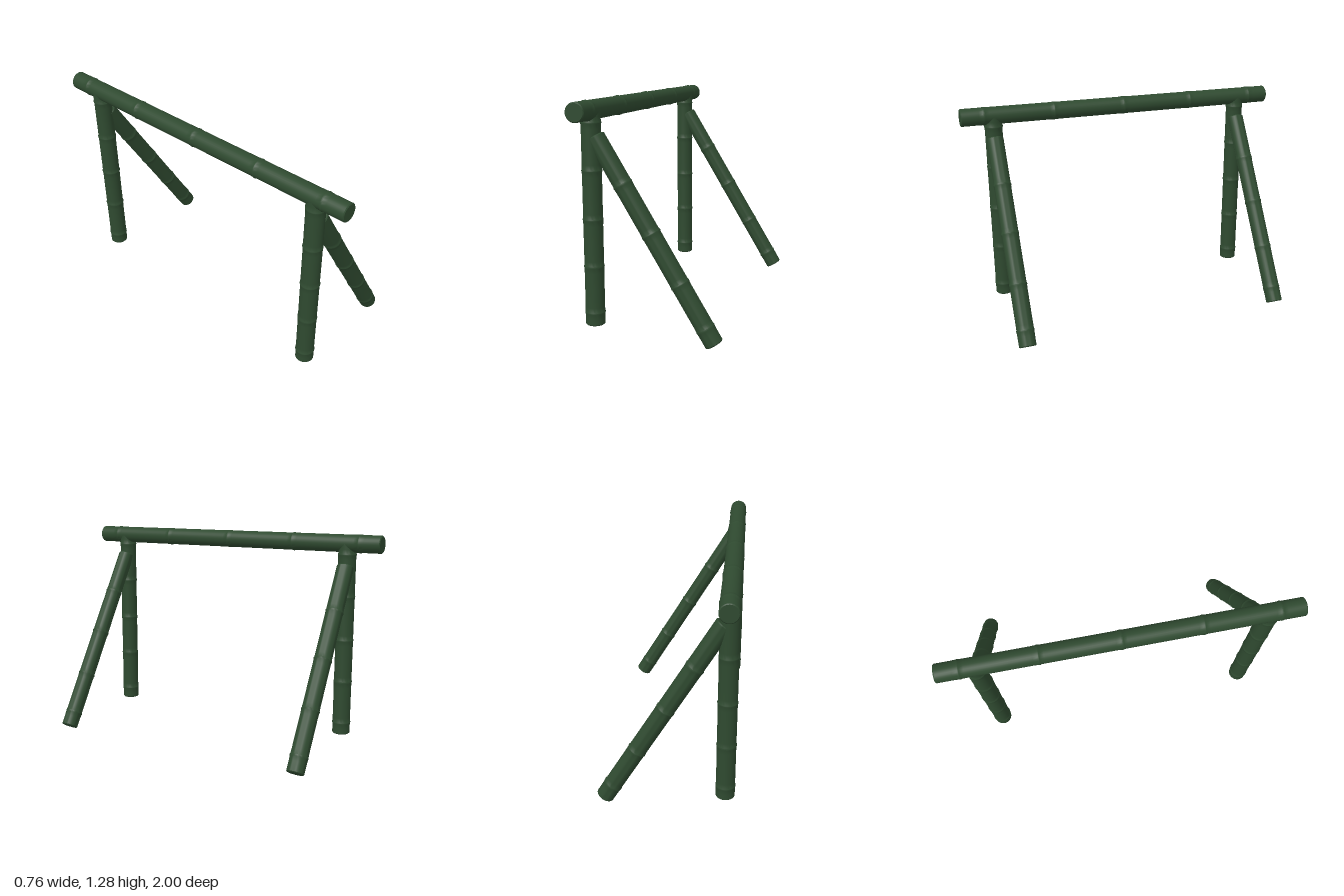
import * as THREE from 'three';
import { toCreasedNormals } from 'three/addons/utils/BufferGeometryUtils.js';

const green = new THREE.MeshStandardMaterial({ color: 0x2f4a30 });

// Jointed cane from a to b; nodes are distances along it from a
function makeCane(name, a, b, radius, nodes) {
  const start = new THREE.Vector3(...a);
  const axis = new THREE.Vector3(...b).sub(start);
  const length = axis.length();
  const bevel = 0.005;
  const profile = [[0, 0], [radius - bevel, 0], [radius, bevel]];
  for (const n of nodes) {
    // Slight swelling, a proud ridge and a small groove above it
    profile.push(
      [radius, n - 0.035], [radius + 0.001, n - 0.010], [radius + 0.003, n - 0.003],
      [radius + 0.003, n + 0.002], [radius + 0.0005, n + 0.006], [radius, n + 0.03]
    );
  }
  profile.push([radius, length - bevel], [radius - bevel, length], [0, length]);

  const lathe = new THREE.LatheGeometry(profile.map(([r, y]) => new THREE.Vector2(r, y)), 32);
  const mesh = new THREE.Mesh(toCreasedNormals(lathe, 0.6), green);
  mesh.name = name;
  mesh.position.copy(start);
  mesh.quaternion.setFromUnitVectors(new THREE.Vector3(0, 1, 0), axis.normalize());
  return mesh;
}

export function createModel() {
  const group = new THREE.Group();
  group.name = 'bambooFrame';
  const poleX = -0.33, beamY = 1.223;

  // Long top rail
  group.add(makeCane('topRail', [poleX, beamY, -1], [poleX, beamY, 1], 0.052,
    [0.13, 0.55, 0.995, 1.44, 1.865]));

  // Upright post and slanted brace at each end
  for (const [side, z] of [['front', 0.807], ['back', -0.79]]) {
    const support = new THREE.Group();
    support.name = side + 'Support';
    support.add(makeCane('post', [poleX, 0.07, z], [poleX, beamY, z], 0.052,
      [0.07, 0.325, 0.58, 0.84, 1.09]));
    support.add(makeCane('brace', [0.337, 0.026, z], [-0.307, 1.088, z], 0.05,
      [0.095, 0.36, 0.66, 0.955]));
    group.add(support);
  }
  return group;
}
